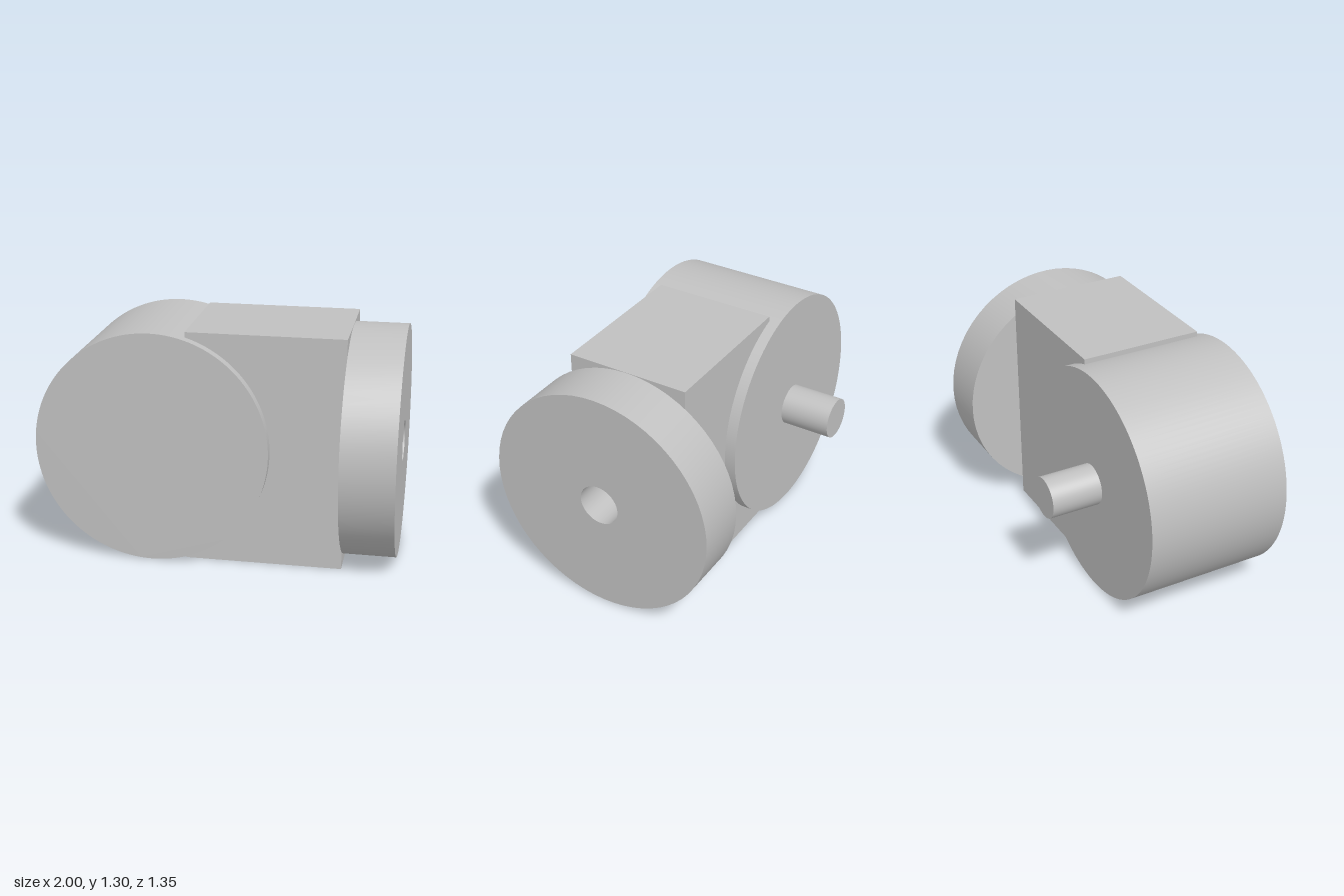
import * as THREE from 'three';
import { toCreasedNormals } from 'three/addons/utils/BufferGeometryUtils.js';

const R = 0.65, PIN = 0.115, CY = 0.652;

// Round slab running from z = 0 to z = depth, with an optional bore
function slab(radius, depth, segments, bore = 0) {
  const shape = new THREE.Shape().absarc(0, 0, radius, 0, Math.PI * 2, false);
  if (bore) shape.holes.push(new THREE.Path().absarc(0, 0, bore, 0, Math.PI * 2, true));
  const geometry = new THREE.ExtrudeGeometry(shape, { depth, bevelEnabled: false, curveSegments: segments });
  return toCreasedNormals(geometry, Math.PI / 5);
}

export function createModel() {
  const model = new THREE.Group();
  model.name = 'pivotJoint';
  const grey = new THREE.MeshStandardMaterial({ color: 0xc0c0c0 });
  grey.name = 'plain grey';

  const add = (name, geometry, x, y, z) => {
    const mesh = new THREE.Mesh(geometry, grey);
    mesh.name = name;
    mesh.position.set(x, y, z);
    model.add(mesh);
  };

  // Drum with its axis front to back, and the pin at its rear
  add('drum', slab(R, 0.815, 64), -0.35, CY, -0.387);
  add('pin', slab(PIN, 0.3, 32), -0.35, CY, -0.675);

  // Block joining the drum to the end disc
  add('block', new THREE.BoxGeometry(0.87, 1.304, 0.695), 0.27, CY, 0.022);

  // Bored end disc facing sideways
  add('endDisc', slab(R, 0.295, 32, PIN).rotateY(Math.PI / 2), 0.705, CY, 0.022);

  return model;
}
